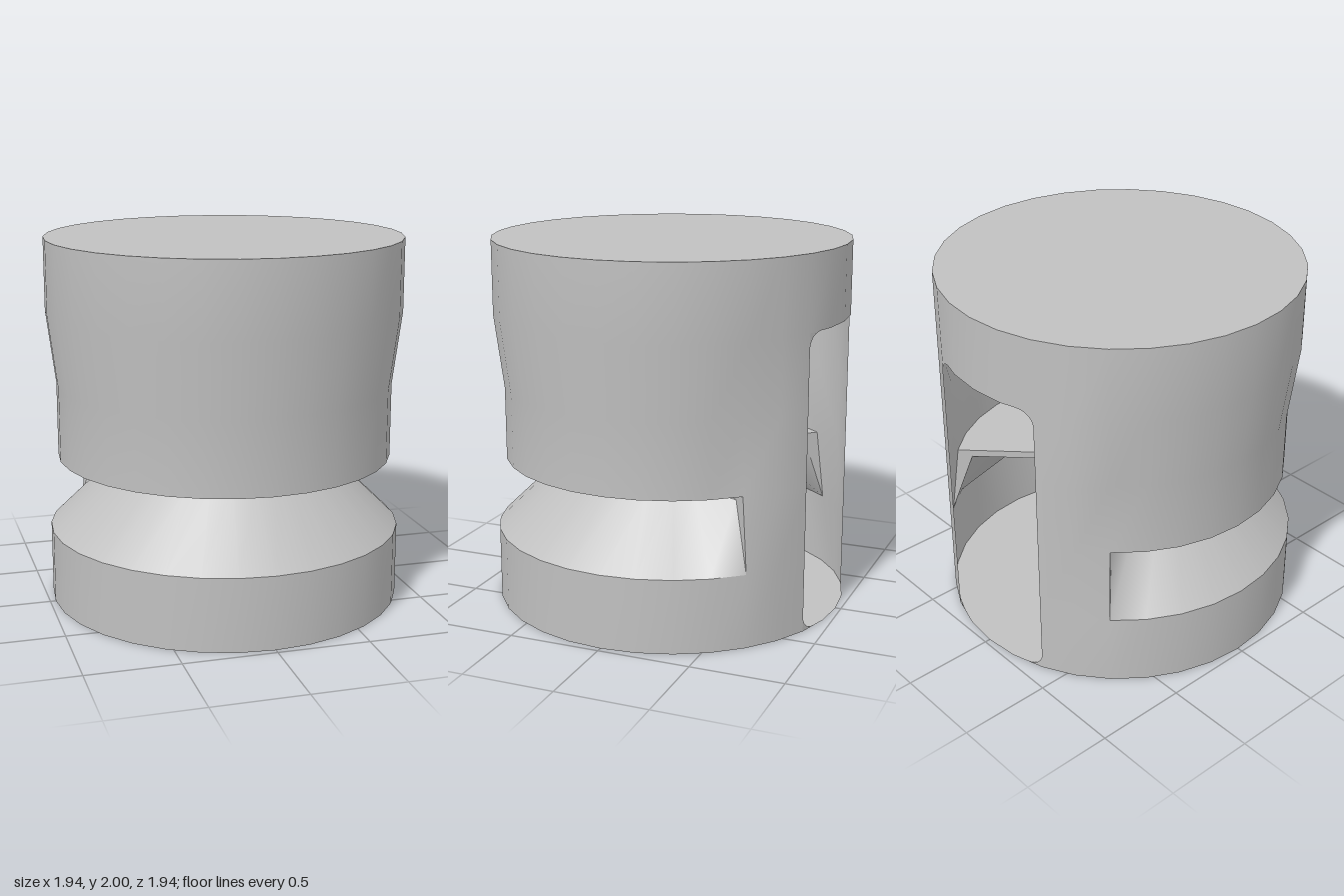
import * as THREE from 'three';
import { mergeVertices } from 'three/addons/utils/BufferGeometryUtils.js';

const R = 0.97, WAIST = 0.92, SIDES = 32;
// Column 0 is the middle of the back; the groove runs from column 4 to 28.
const GROOVE_START = 4, GROOVE_END = 28;
const inGroove = (i) => i >= GROOVE_START && i <= GROOVE_END;
const angle = (i) => -Math.PI + (i * 2 * Math.PI) / SIDES;
const polar = (i, r, y) => [r * Math.sin(angle(i)), y, r * Math.cos(angle(i))];

// Sweeps a profile of [radius, height] points round the axis, leaving out skipped cells
function band(from, to, profile, skip = () => false) {
  const pos = [], index = [];
  const rows = profile(from).length;
  for (let i = from; i <= to; i++) {
    for (const [r, y] of profile(i)) pos.push(...polar(i, r, y));
  }
  for (let i = 0; i < to - from; i++) {
    for (let j = 0; j < rows - 1; j++) {
      if (skip(i + from, j)) continue;
      const a = i * rows + j, b = a + rows;
      index.push(a, b, b + 1, a, b + 1, a + 1);
    }
  }
  let geo = new THREE.BufferGeometry();
  geo.setAttribute('position', new THREE.Float32BufferAttribute(pos, 3));
  geo.setIndex(index);
  geo = mergeVertices(geo, 1e-4);
  geo.computeVertexNormals();
  return geo;
}

// Rounded filler for one corner of the back opening
function cornerFillet(column, inner, y, up) {
  const corner = new THREE.Vector3(...polar(column, R, y));
  const along = new THREE.Vector3(...polar(inner, R, y)).sub(corner).normalize();
  const w = 0.1, h = 0.08, steps = 6, pos = [], index = [];
  pos.push(...corner.toArray());
  for (let k = 0; k <= steps; k++) {
    const t = (k / steps) * Math.PI / 2;
    const p = corner.clone().addScaledVector(along, w * (1 - Math.sin(t)));
    p.y += up * h * (1 - Math.cos(t));
    pos.push(...p.toArray());
  }
  const flip = (inner > column) === (up > 0);
  for (let k = 1; k <= steps; k++) index.push(0, flip ? k : k + 1, flip ? k + 1 : k);
  const geo = new THREE.BufferGeometry();
  geo.setAttribute('position', new THREE.Float32BufferAttribute(pos, 3));
  geo.setIndex(index);
  geo.computeVertexNormals();
  return geo;
}

export function createModel() {
  const group = new THREE.Group();
  const grey = new THREE.MeshStandardMaterial({ color: 0xc0c0c0, side: THREE.DoubleSide });
  grey.name = 'plain grey';
  const add = (name, geo) => {
    const mesh = new THREE.Mesh(geo, grey);
    mesh.name = name;
    group.add(mesh);
  };

  // Thin outer wall: waisted at the front and sides, straight at the back
  const wallProfile = (i) => {
    const w = inGroove(i) ? WAIST : R;
    return [[R, 0], [R, 0.4], [w, 0.8], [w, 1.2], [R, 1.6], [R, 2]];
  };
  const opening = (i, j) => (i < 2 || i >= 30) && j < 4;
  const groove = (i, j) => i >= GROOVE_START && i < GROOVE_END && j === 1;
  add('outerWall', band(0, SIDES, wallProfile, (i, j) => opening(i, j) || groove(i, j)));

  // Lid and base
  add('lid', new THREE.CircleGeometry(R, SIDES).rotateX(-Math.PI / 2).translate(0, 2, 0));
  add('base', new THREE.CircleGeometry(R, SIDES).rotateX(Math.PI / 2));

  // Groove: sloping shoulder, narrow ledge, core and overhang, shallower at its ends
  const rim = (i) => (i === GROOVE_START || i === GROOVE_END ? 0.84 : 0.6);
  const parts = {
    grooveSlope: (i) => [[R, 0.4], [rim(i), 0.76]],
    grooveLedge: (i) => [[rim(i), 0.76], [0.45, 0.76]],
    grooveCore: () => [[0.45, 0.76], [0.45, 0.8]],
    grooveOverhang: () => [[0.45, 0.8], [WAIST, 0.8]],
  };
  for (const [name, profile] of Object.entries(parts)) {
    add(name, band(GROOVE_START, GROOVE_END, profile));
  }

  // Walls that close the two ends of the groove
  const section = [[0.45, 0.76], [0.84, 0.76], [R, 0.4], [WAIST, 0.8], [0.45, 0.8]];
  for (const i of [GROOVE_START, GROOVE_END]) {
    const shape = new THREE.Shape(section.map(([r, y]) => new THREE.Vector2(r, y)));
    add('grooveEnd', new THREE.ShapeGeometry(shape).rotateY(angle(i) - Math.PI / 2));
  }

  // Rounded corners of the back opening
  for (const [column, inner] of [[2, 1], [30, 31]]) {
    add('openingCorner', cornerFillet(column, inner, 0, 1));
    add('openingCorner', cornerFillet(column, inner, 1.6, -1));
  }
  return group;
}
